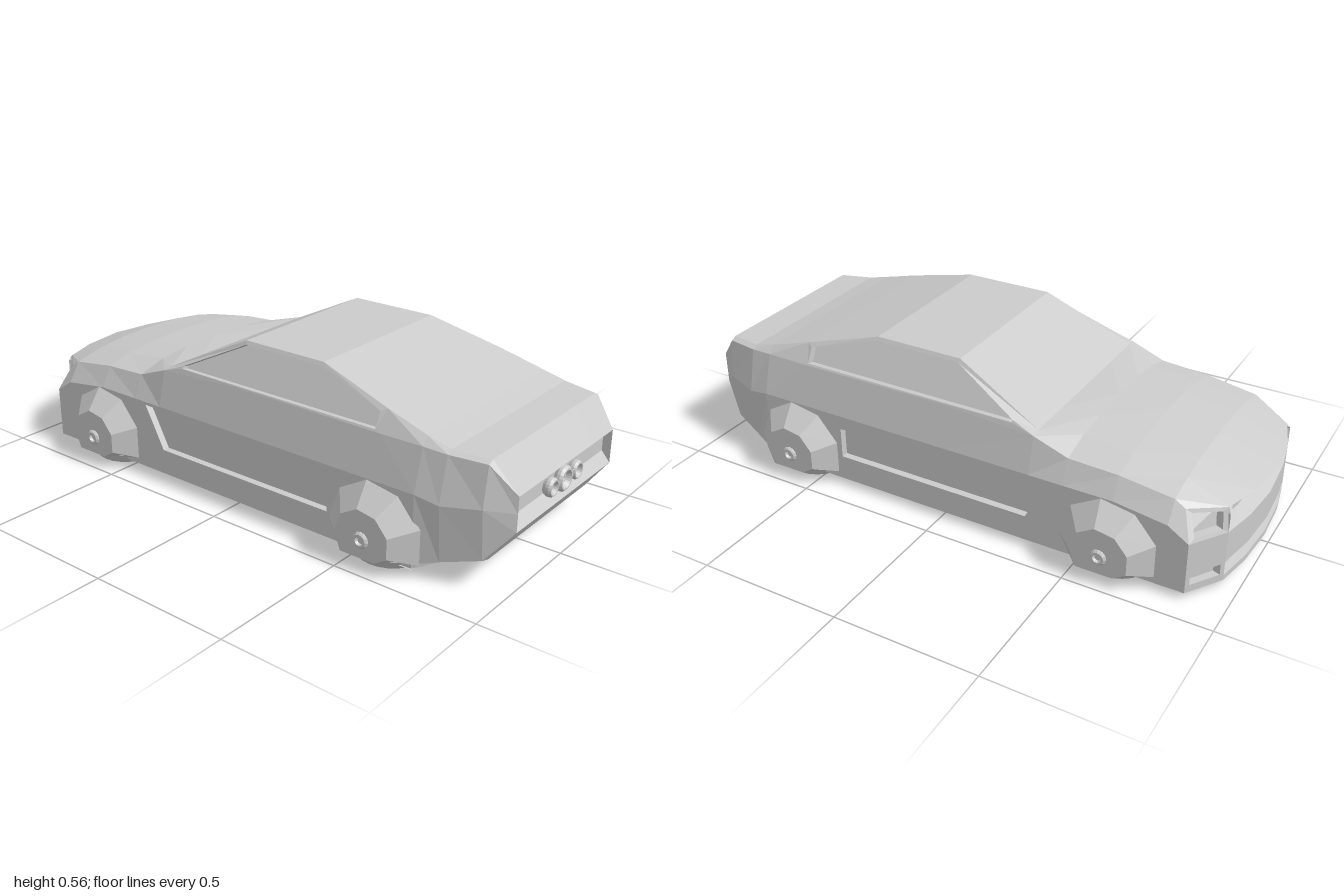
import * as THREE from 'three';

const material = new THREE.MeshStandardMaterial({ color: 0xcccccc, flatShading: true, side: THREE.DoubleSide });

// Collects triangles; every face is also mirrored to the other side of the car
class Skin {
  constructor() { this.data = []; }
  tri(a, b, c) {
    this.data.push(...a, ...b, ...c);
    for (const p of [a, c, b]) this.data.push(-p[0], p[1], p[2]);
  }
  quad(a, b, c, d) { this.tri(a, b, c); this.tri(a, c, d); }
  fan(points) { for (let i = 1; i < points.length - 1; i++) this.tri(points[0], points[i], points[i + 1]); }
  // A frame from outer to inner, walls going in by depth, and a floor
  recess(outer, inner, depth) {
    const floor = inner.map(p => p.map((v, k) => v + depth[k]));
    outer.forEach((p, i) => {
      const n = (i + 1) % outer.length;
      this.quad(p, outer[n], inner[n], inner[i]);
      this.quad(inner[i], inner[n], floor[n], floor[i]);
    });
    this.fan(floor);
  }
  mesh(name) {
    const g = new THREE.BufferGeometry();
    g.setAttribute('position', new THREE.Float32BufferAttribute(this.data, 3));
    g.computeVertexNormals();
    return named(g, name);
  }
}

function named(geometry, name) {
  const m = new THREE.Mesh(geometry, material);
  m.name = name;
  return m;
}

function lathe(profile, sides, name) {
  return named(new THREE.LatheGeometry(profile.map(p => new THREE.Vector2(...p)), sides), name);
}

// Half cross-section: bottom edge, low side, belt, shoulder, top edge, crown, centre
function section(z, a, b, c, d, e, crown = e[1], centre = crown) {
  return [[0, a[1]], a, b, c, d, e, [e[0] * 0.55, crown], [0, centre]].map(p => [p[0], p[1], z]);
}

function createBody() {
  const skin = new Skin();
  const a = [0.41, 0.025], b = [0.41, 0.04], c = [0.41, 0.275];
  const stations = [
    section(1, [0.3, 0.2], [0.3, 0.2], [0.3, 0.26], [0.3, 0.315], [0.3, 0.315]),
    section(0.92, [0.31, 0.09], [0.345, 0.1], [0.36, 0.27], [0.34, 0.405], [0.32, 0.415]),
    section(0.8, [0.355, 0.06], [0.385, 0.07], [0.4, 0.26], [0.365, 0.41], [0.345, 0.42]),
    section(0.72, [0.41, 0.03], [0.41, 0.045], c, [0.372, 0.415], [0.345, 0.44]),
    section(0.57, a, b, c, [0.375, 0.415], [0.335, 0.482]),
    section(0.3, a, b, c, [0.375, 0.415], [0.3, 0.555]),
    section(-0.02, a, b, c, [0.375, 0.415], [0.3, 0.555]),
    section(-0.33, a, b, c, [0.378, 0.4], [0.345, 0.405]),
    section(-0.45, a, b, c, [0.375, 0.355], [0.27, 0.385], 0.396, 0.401),
    section(-0.62, a, b, c, [0.37, 0.345], [0.27, 0.37], 0.383, 0.389),
    section(-0.8, a, b, [0.41, 0.25], [0.365, 0.318], [0.27, 0.34], 0.355, 0.36),
    // Curved front edge of the hood
    [[0, 0.025, -0.87], [0.41, 0.025, -0.87], [0.41, 0.04, -0.87], [0.41, 0.205, -0.87],
      [0.365, 0.295, -0.835], [0.28, 0.287, -0.94], [0.16, 0.29, -0.98], [0, 0.292, -1]],
  ];
  for (let i = 0; i < stations.length - 1; i++) {
    for (let j = 0; j < 7; j++) {
      const floor = j === 0 && i >= 3;
      const door = j === 2 && i >= 4 && i <= 7;
      const window = j === 4 && i >= 4 && i <= 6;
      if (floor || door || window) continue;
      const p = stations[i], q = stations[i + 1];
      skin.quad(p[j], q[j], q[j + 1], p[j + 1]);
    }
  }

  // Sunken door panels
  const s = stations;
  skin.recess([s[4][2], s[8][2], s[8][3], s[4][3]],
    [[0.4, 0.115], [-0.32, 0.115], [-0.4, 0.265], [0.4, 0.225]].map(([z, y]) => [0.41, y, z]), [-0.025, 0, 0]);

  // Sunken side windows
  skin.recess([s[4][4], s[7][4], s[7][5], s[6][5], s[5][5], s[4][5]],
    [[0.55, 0.422], [-0.25, 0.422], [-0.25, 0.43], [-0.015, 0.543], [0.3, 0.543], [0.55, 0.472]]
      .map(([z, y]) => [0.375 - (y - 0.415) * 0.53, y, z]), [-0.025, -0.005, 0]);

  // Grooved tail panel with closed ends
  const tail = [[0.315, 1], [0.285, 0.97], [0.235, 0.97], [0.2, 1]];
  for (let i = 0; i < 3; i++) {
    const [y0, z0] = tail[i], [y1, z1] = tail[i + 1];
    skin.quad([0, y0, z0], [0, y1, z1], [0.3, y1, z1], [0.3, y0, z0]);
  }
  skin.fan(tail.map(([y, z]) => [0.3, y, z]));

  // Nose: grille and lower intake sunk into a curved bumper
  const columns = [[0, -0.985, 1], [0.16, -0.975, 1], [0.265, -0.955, 1], [0.29, -0.95, 0], [0.41, -0.87, 0]];
  const rows = [[0.268, 0.045], [0.22, 0.045], [0.205, 0], [0.095, 0], [0.09, 0.03], [0.05, 0.03], [0.045, 0], [0.025, 0]];
  const lip = [s[11][7], s[11][6], [0.265, 0.287, -0.945], s[11][5]];
  const nose = columns.map(([x, z, sunk], k) => [
    lip[k], ...rows.map(([y, inset]) => [x, y - (sunk && y === 0.205 ? 0.012 * (1 - x / 0.29) : 0), z + inset * sunk])]);
  for (let k = 0; k < 4; k++) {
    for (let r = k === 3 ? 3 : 0; r < rows.length; r++) {
      if (k === 3 && r === 4) {
        // Side intakes
        const outer = [nose[3][4], nose[4][4], nose[4][7], nose[3][7]];
        skin.recess(outer, shrink(outer, 0.78), [-0.01, 0, 0.025]);
        r = 6;
      } else skin.quad(nose[k][r], nose[k + 1][r], nose[k + 1][r + 1], nose[k][r + 1]);
    }
  }

  // Headlights
  const lamp = [s[11][5], s[11][4], s[11][3], nose[3][3]];
  skin.recess(lamp, shrink(lamp, 0.72), [-0.012, 0, 0.025]);
  return skin.mesh('body');
}

function shrink(points, f) {
  const mid = [0, 1, 2].map(k => points.reduce((t, p) => t + p[k], 0) / points.length);
  return points.map(p => p.map((v, k) => mid[k] + (v - mid[k]) * f));
}

const axles = [0.58, -0.61];

// Floor plate with openings for the lift pods
function createFloor() {
  const half = [[0, -0.985], [0.16, -0.975], [0.265, -0.955], [0.41, -0.87], [0.41, 0.72]];
  const outline = [...half, ...half.slice(1).reverse().map(([x, z]) => [-x, z])];
  const shape = new THREE.Shape(outline.map(([x, z]) => new THREE.Vector2(x, z)));
  for (const z of axles) for (const x of [-0.31, 0.31]) {
    shape.holes.push(new THREE.Path().absarc(x, z, 0.1, 0, Math.PI * 2, true));
  }
  return named(new THREE.ShapeGeometry(shape, 12).rotateX(Math.PI / 2).translate(0, 0.025, 0), 'floor');
}

// Faceted wheel arch bulge, flat along its lower edge
function createArch() {
  const g = new THREE.CylinderGeometry(0.1, 0.175, 0.07, 9).rotateZ(-Math.PI / 2).translate(0.44, 0.105, 0);
  const p = g.attributes.position;
  for (let i = 0; i < p.count; i++) p.setY(i, Math.max(p.getY(i), p.getX(i) > 0.45 ? 0.043 : 0.028));
  g.computeVertexNormals();
  return named(g, 'wheelArch');
}

export function createModel() {
  const car = new THREE.Group();
  car.name = 'hoverCar';
  car.add(createBody(), createFloor());

  for (const side of [1, -1]) for (const z of axles) {
    const corner = new THREE.Group();
    corner.name = 'wheelCorner';
    corner.position.z = z;
    const hub = lathe([[0.028, 0], [0.028, 0.012], [0.022, 0.018], [0.015, 0.018], [0.012, 0.008], [0, 0.008]], 12, 'hub');
    hub.rotation.z = -Math.PI / 2;
    hub.position.set(0.467, 0.105, 0);
    const pod = lathe([[0, 0.1], [0.06, 0.1], [0.095, 0.012], [0.105, 0], [0.115, 0], [0.14, 0.028], [0.15, 0.04], [0.1, 0.043]], 24, 'liftPod');
    pod.position.x = 0.31;
    corner.add(createArch(), hub, pod);
    if (side < 0) corner.rotation.y = Math.PI;
    car.add(corner);
  }

  // Three round thrusters at the tail
  for (const [x, r] of [[-0.078, 0.031], [0, 0.042], [0.078, 0.031]]) {
    const thruster = lathe([[0.8, 0], [1, 0.3], [1, 0.55], [0.85, 0.75], [0.7, 0.75], [0.45, 0.3], [0.35, 0.45], [0.2, 0.45], [0, 0.2]]
      .map(([a, h]) => [a * r, h * 0.04]), 20, 'thruster');
    thruster.rotation.x = Math.PI / 2;
    thruster.position.set(x, 0.255, 0.97);
    car.add(thruster);
  }
  return car;
}
